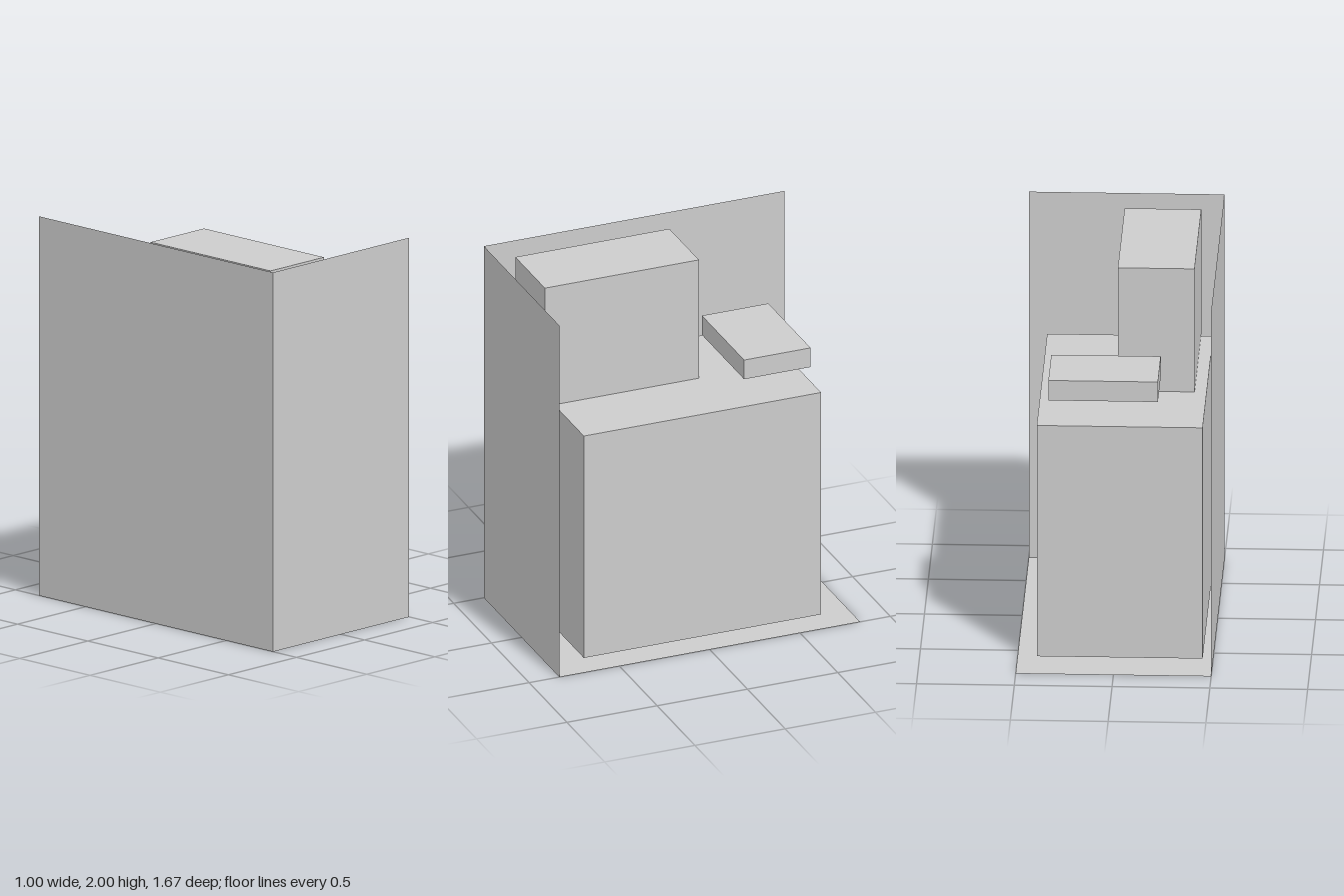
import * as THREE from 'three';

export function createModel() {
  const model = new THREE.Group();
  const grey = new THREE.MeshStandardMaterial({ color: 0xcccccc, side: THREE.DoubleSide });
  grey.name = 'light grey';

  const add = (name, geometry, x, y, z) => {
    const mesh = new THREE.Mesh(geometry, grey);
    mesh.name = name;
    mesh.position.set(x, y, z);
    model.add(mesh);
  };

  // Solid block given by its extents on each axis
  const block = (name, [x0, x1], [y0, y1], [z0, z1]) =>
    add(name, new THREE.BoxGeometry(x1 - x0, y1 - y0, z1 - z0),
      (x0 + x1) / 2, (y0 + y1) / 2, (z0 + z1) / 2);

  // Three thin sheets meeting at a corner: floor, front and right side
  const width = 1, height = 2, depth = 1.666;
  add('floorPanel', new THREE.PlaneGeometry(width, depth).rotateX(-Math.PI / 2), 0, 0, 0);
  add('frontPanel', new THREE.PlaneGeometry(width, height), 0, height / 2, depth / 2);
  add('sidePanel', new THREE.PlaneGeometry(depth, height).rotateY(-Math.PI / 2), -width / 2, height / 2, 0);

  // Main body, tall block resting on it, and slab floating above the back
  block('mainBlock', [-0.449, 0.399], [0.03, 1.292], [-0.659, 0.655]);
  block('upperBlock', [-0.387, 0.005], [1.282, 1.965], [-0.147, 0.706]);
  block('floatingSlab', [-0.219, 0.341], [1.417, 1.526], [-0.625, -0.257]);

  return model;
}
